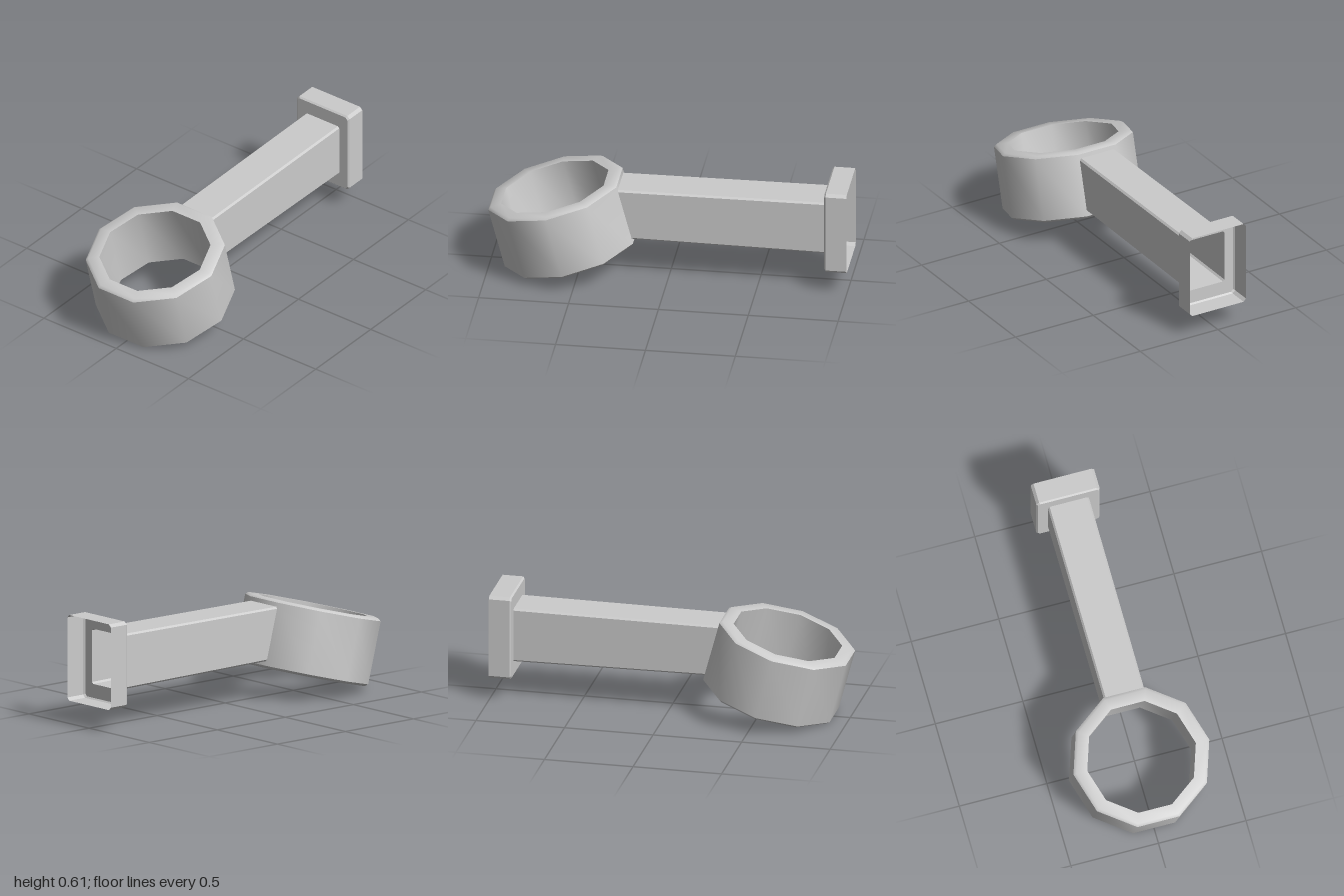
import * as THREE from 'three';
import { toCreasedNormals } from 'three/addons/utils/BufferGeometryUtils.js';

const TILT = Math.PI / 12;
const RING_Y = 0.282, RING_Z = 0.599, APOTHEM = 0.369;

// Rectangle with cut corners, counter-clockwise seen from +z; z may depend on y
function section(halfW, y0, y1, cut, z) {
  const zAt = typeof z === 'function' ? z : () => z;
  return [
    [halfW, y0 + cut], [halfW, y1 - cut], [halfW - cut, y1], [-halfW + cut, y1],
    [-halfW, y1 - cut], [-halfW, y0 + cut], [-halfW + cut, y0], [halfW - cut, y0],
  ].map(([x, y]) => [x, y, zAt(y)]);
}

// Open shell through sections ordered from back to front
function loft(sections) {
  const n = sections[0].length;
  const index = [];
  for (let i = 0; i < sections.length - 1; i++) {
    for (let j = 0; j < n; j++) {
      const a = i * n + j, b = i * n + (j + 1) % n;
      index.push(a, b, b + n, a, b + n, a + n);
    }
  }
  const geometry = new THREE.BufferGeometry();
  geometry.setAttribute('position', new THREE.Float32BufferAttribute(sections.flat(2), 3));
  geometry.setIndex(index);
  return toCreasedNormals(geometry, 0.2);
}

export function createModel() {
  const group = new THREE.Group();
  const material = new THREE.MeshStandardMaterial({ color: 0xcccccc });
  const shellMaterial = new THREE.MeshStandardMaterial({ color: 0xcccccc, side: THREE.DoubleSide });
  const add = (name, geometry, mat) => {
    const mesh = new THREE.Mesh(geometry, mat);
    mesh.name = name;
    group.add(mesh);
    return mesh;
  };

  // Ten-sided tilted ring with chamfered outer rims
  const profile = [
    [0.31, -0.19], [0.372, -0.19], [0.388, -0.177], [0.388, 0.177],
    [0.372, 0.19], [0.31, 0.19], [0.31, -0.19],
  ].map(([r, y]) => new THREE.Vector2(r, y));
  const ring = add('ring', toCreasedNormals(new THREE.LatheGeometry(profile, 10, Math.PI / 2), 0.8), material);
  ring.position.set(0, RING_Y, RING_Z);
  ring.rotation.x = TILT;

  // Hollow arm, its front end following the slope of the ring's back wall
  const ringWall = (y) => RING_Z - APOTHEM * Math.cos(TILT)
    + (y - RING_Y - APOTHEM * Math.sin(TILT)) * Math.tan(TILT);
  add('arm', loft([
    section(0.117, 0.221, 0.532, 0.01, -0.875),
    section(0.115, 0.23, 0.526, 0.01, ringWall),
  ]), shellMaterial);

  // Collar open to the back, stepping in to the arm
  add('collar', loft([
    section(0.181, 0.135, 0.618, 0.016, -1),
    section(0.181, 0.135, 0.618, 0.016, -0.884),
    section(0.173, 0.143, 0.61, 0.014, -0.875),
    section(0.117, 0.221, 0.532, 0.01, -0.875),
  ]), shellMaterial);

  return group;
}
